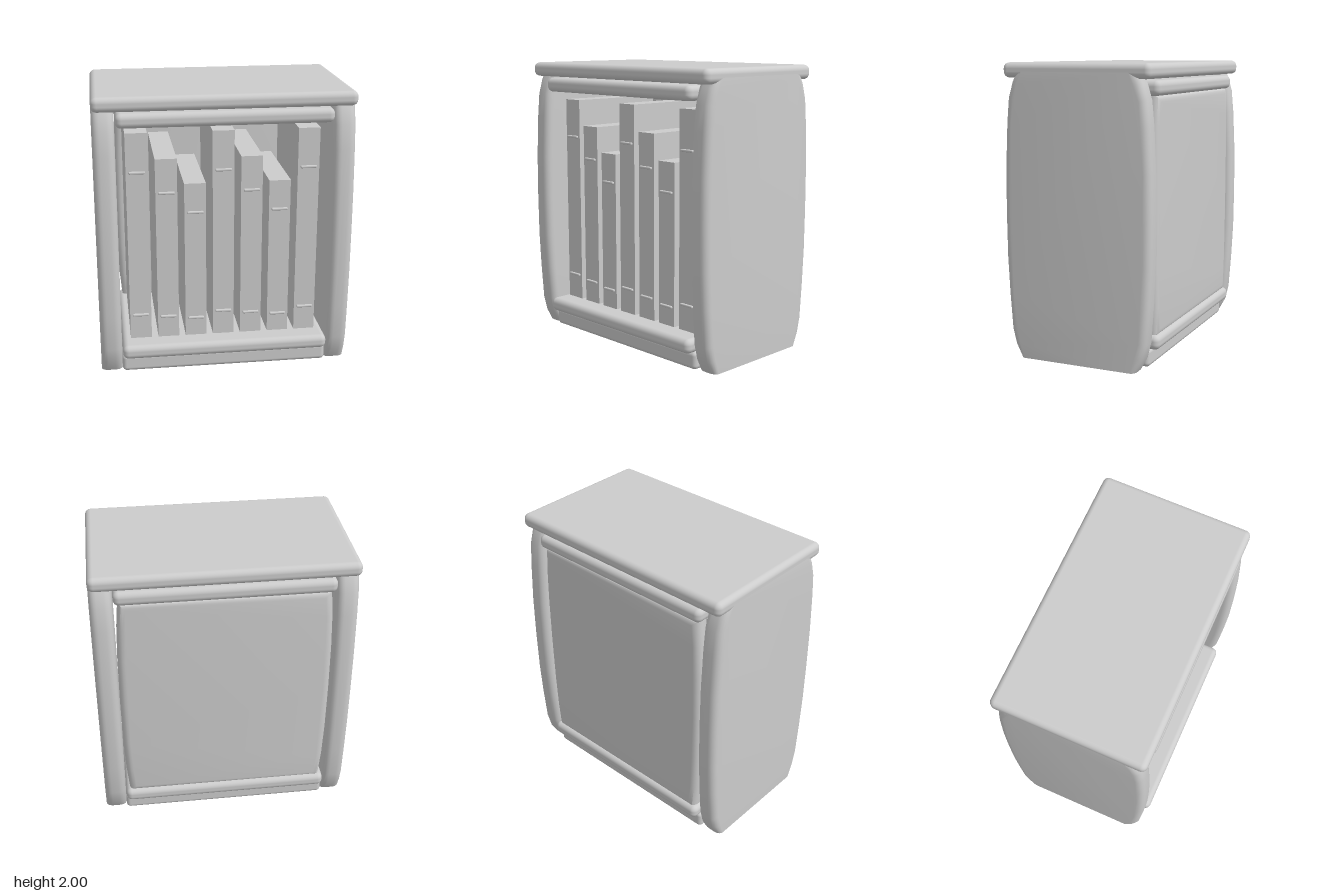
import * as THREE from 'three';
import { toCreasedNormals } from 'three/addons/utils/BufferGeometryUtils.js';
import { RoundedBoxGeometry } from 'three/addons/geometries/RoundedBoxGeometry.js';

const BEVEL = 0.05;

export function createModel() {
  const group = new THREE.Group();
  const grey = new THREE.MeshStandardMaterial({ color: 0xcccccc });
  grey.name = 'plain grey';

  function add(name, geometry, x = 0, y = 0, z = 0) {
    const mesh = new THREE.Mesh(geometry, grey);
    mesh.name = name;
    mesh.position.set(x, y, z);
    group.add(mesh);
    return mesh;
  }

  // Pillow-edged panel from [half width, y] pairs, centred on its thickness
  function panelGeometry(profile, thickness) {
    const right = profile.map(([w, y]) => new THREE.Vector2(w - BEVEL, y));
    const left = right.map((p) => new THREE.Vector2(-p.x, p.y)).reverse();
    const depth = thickness - 2 * BEVEL;
    const geometry = new THREE.ExtrudeGeometry(new THREE.Shape([...right, ...left]), {
      depth, bevelEnabled: true, bevelSize: BEVEL, bevelThickness: BEVEL, bevelSegments: 5,
    });
    geometry.translate(0, 0, -depth / 2);
    // Cut the foot flat on the ground
    const pos = geometry.attributes.position;
    for (let i = 0; i < pos.count; i++) pos.setY(i, Math.max(0, pos.getY(i)));
    return toCreasedNormals(geometry, 0.7);
  }

  // Horizontal board with softly rounded edges
  function board(name, width, depth, bottom, top, radius = 0.04) {
    const height = top - bottom;
    add(name, new RoundedBoxGeometry(width, height, depth, 4, radius), 0, (bottom + top) / 2, 0);
  }

  // Bowed side walls
  const sideProfile = [
    [0.44, 0], [0.475, 0.1], [0.5, 0.2], [0.518, 0.45], [0.53, 0.7], [0.533, 1],
    [0.53, 1.3], [0.515, 1.6], [0.5, 1.76], [0.47, 1.86], [0.43, 1.94],
  ];
  const sideGeometry = panelGeometry(sideProfile, 0.15).rotateY(Math.PI / 2);
  for (const side of [-1, 1]) {
    add(side > 0 ? 'leftWall' : 'rightWall', sideGeometry, side * 0.81);
  }

  // Bulging back panel between the boards
  const backProfile = [
    [0.705, 0.25], [0.718, 0.4], [0.727, 0.65], [0.73, 1],
    [0.727, 1.35], [0.718, 1.6], [0.705, 1.75],
  ];
  add('backPanel', panelGeometry(backProfile, 0.12), 0, 0, -0.45);

  // Top, shelves and plinth
  board('topBoard', 1.77, 1.06, 1.9, 2);
  board('upperShelf', 1.46, 1.06, 1.79, 1.89);
  board('lowerShelf', 1.46, 1.06, 0.12, 0.22);
  board('plinth', 1.47, 0.93, 0, 0.125, 0.03);

  // Row of books, each with two raised spine bands
  const bottom = 0.225;
  const front = 0.39;
  const back = -0.36;
  const heights = [1.505, 1.32, 1.14];
  for (let i = 0; i < 7; i++) {
    const x = (i - 3) * 0.197 - 0.003;
    const h = heights[i % 3];
    add('book', new THREE.BoxGeometry(0.15, h, front - back), x, bottom + h / 2, (front + back) / 2);
    for (const t of [0.12, 0.818]) {
      add('spineBand', new RoundedBoxGeometry(0.114, 0.018, 0.03, 2, 0.007), x, bottom + h * t, front);
    }
  }

  return group;
}
